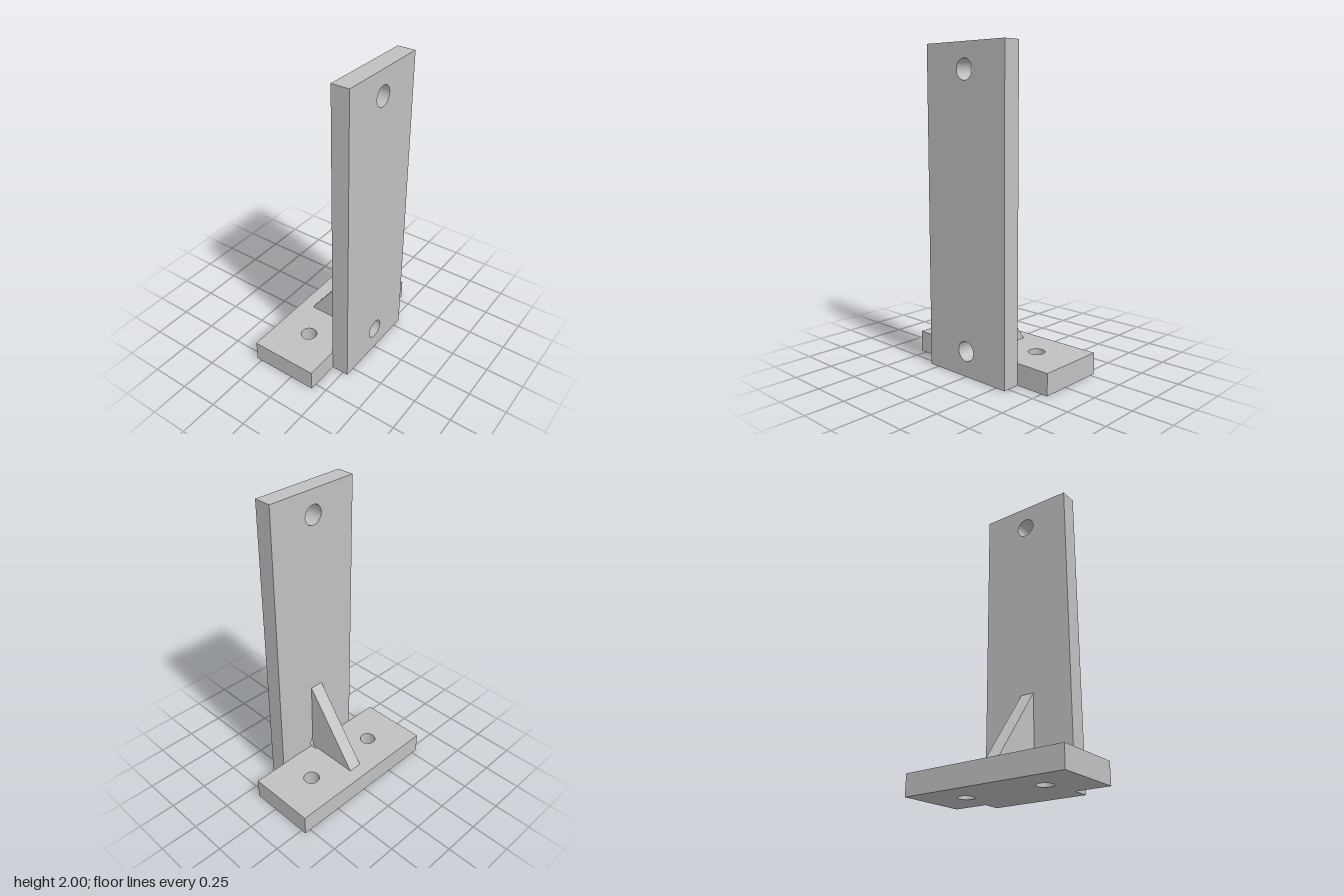
import * as THREE from 'three';

const STEEL = new THREE.MeshStandardMaterial({ color: 0xc0c0c0 });
STEEL.name = 'grey steel';

const HALF_X = 0.284;     // overall half width
const JOIN_X = 0.169;     // where the base meets the upright
const POCKET_X = 0.125;   // depth reached by the lower bolt hole
const BASE_H = 0.137;
const BASE_Z = 0.542;
const BOLT_R = 0.0625;
const BOLT_Y = 0.161;

function polygon(points) {
  return new THREE.Shape(points.map(([x, y]) => new THREE.Vector2(x, y)));
}

function rectangle(x0, y0, x1, y1) {
  return polygon([[x0, y0], [x1, y0], [x1, y1], [x0, y1]]);
}

function drill(shape, x, y, r) {
  const hole = new THREE.Path();
  hole.absarc(x, y, r, 0, Math.PI * 2, true);
  shape.holes.push(hole);
}

function extrude(shape, depth) {
  return new THREE.ExtrudeGeometry(shape, { depth, bevelEnabled: false, curveSegments: 32 });
}

function part(name, geometry) {
  const mesh = new THREE.Mesh(geometry, STEEL);
  mesh.name = name;
  return mesh;
}

export function createModel() {
  const model = new THREE.Group();
  model.name = 'mountingBracket';

  // Upright plate with a bolt hole near each end
  const uprightShape = rectangle(-0.316, 0, 0.316, 2);
  drill(uprightShape, 0, 1.844, BOLT_R);
  drill(uprightShape, 0, BOLT_Y, BOLT_R);
  const upright = extrude(uprightShape, HALF_X - JOIN_X);
  upright.rotateY(Math.PI / 2).translate(JOIN_X, 0, 0);
  model.add(part('uprightPlate', upright));

  // Base plate with two vertical holes
  const baseShape = rectangle(-HALF_X, -BASE_Z, POCKET_X, BASE_Z);
  for (const side of [-1, 1]) drill(baseShape, -0.058, side * 0.272, 0.052);
  const base = extrude(baseShape, BASE_H);
  base.rotateX(-Math.PI / 2);
  model.add(part('basePlate', base));

  // Inner edge of the base, notched where the lower bolt hole runs into it
  const a = Math.asin((BOLT_Y - BASE_H) / BOLT_R);
  const edgeShape = polygon([[-BASE_Z, BASE_H], [-BASE_Z, 0], [BASE_Z, 0], [BASE_Z, BASE_H]]);
  edgeShape.absarc(0, BOLT_Y, BOLT_R, -a, -Math.PI + a, true);
  const edge = extrude(edgeShape, JOIN_X - POCKET_X);
  edge.rotateY(Math.PI / 2).translate(POCKET_X, 0, 0);
  model.add(part('baseInnerEdge', edge));

  // Triangular stiffening rib
  const rib = extrude(polygon([[-0.196, BASE_H], [JOIN_X, BASE_H], [JOIN_X, 0.635]]), 0.091);
  rib.translate(0, 0, -0.0455);
  model.add(part('gusset', rib));

  return model;
}
